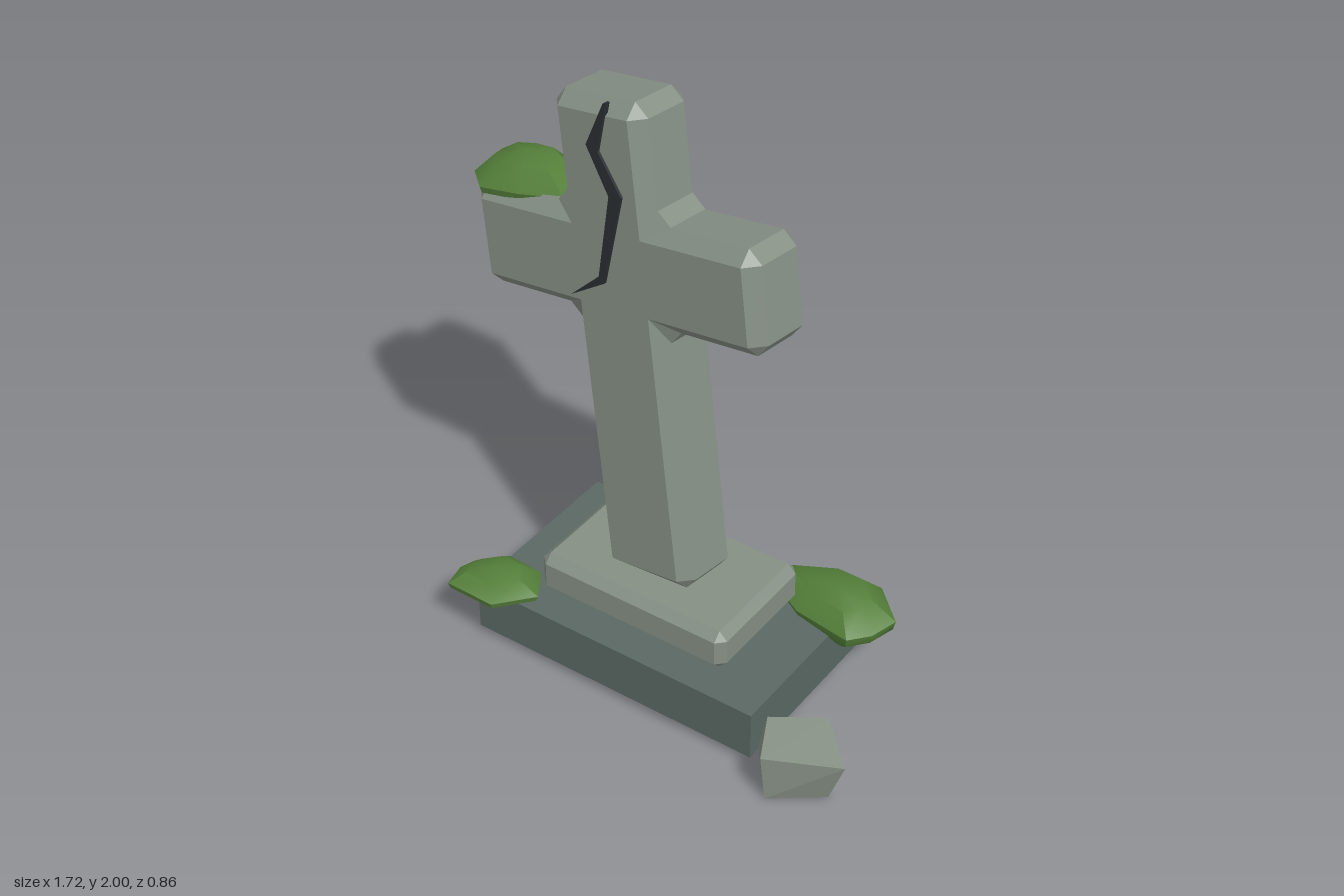
import * as THREE from 'three';
import { toCreasedNormals } from 'three/addons/utils/BufferGeometryUtils.js';
import { ConvexGeometry } from 'three/addons/geometries/ConvexGeometry.js';

const paint = (color, flatShading = true) => new THREE.MeshStandardMaterial({ color, flatShading });
const V = (x, y, z) => new THREE.Vector3(x, y, z);

function fromTriangles(points) {
  const geo = new THREE.BufferGeometry().setFromPoints(points);
  geo.computeVertexNormals();
  return geo;
}
const quad = (out, a, b, c, d) => out.push(a, b, c, a, c, d);

// Prism along z from a right-angled counter-clockwise outline, every edge chamfered by b
function chamferedPrism(outline, depth, b) {
  const n = outline.length, tris = [];
  const corners = outline.map(([x, y], i) => {
    const p = new THREE.Vector2(x, y);
    const d1 = p.clone().sub(new THREE.Vector2(...outline[(i + n - 1) % n])).normalize();
    const d2 = new THREE.Vector2(...outline[(i + 1) % n]).sub(p).normalize();
    const s = Math.sign(d1.cross(d2));
    const n1 = new THREE.Vector2(-d1.y, d1.x), n2 = new THREE.Vector2(-d2.y, d2.x);
    return {
      inset: p.clone().addScaledVector(n1, b).addScaledVector(n2, b),
      a: p.clone().addScaledVector(n2, s * b),
      b: p.clone().addScaledVector(n1, s * b),
    };
  });
  const cap = THREE.ShapeUtils.triangulateShape(corners.map((c) => c.inset), []);
  const zCap = depth / 2, zRim = zCap - b;
  const at = (p, z) => V(p.x, p.y, z);
  for (const side of [1, -1]) {
    const add = (...pts) => {
      if (side < 0) pts.reverse();
      for (let k = 1; k < pts.length - 1; k++) tris.push(pts[0], pts[k], pts[k + 1]);
    };
    cap.forEach((f) => add(...f.map((k) => at(corners[k].inset, side * zCap))));
    corners.forEach((c, i) => {
      const next = corners[(i + 1) % n];
      add(at(c.inset, side * zCap), at(c.a, side * zRim), at(c.b, side * zRim));
      add(at(c.inset, side * zCap), at(c.b, side * zRim), at(next.a, side * zRim), at(next.inset, side * zCap));
    });
  }
  corners.forEach((c, i) => {
    const next = corners[(i + 1) % n];
    quad(tris, at(c.a, -zRim), at(c.b, -zRim), at(c.b, zRim), at(c.a, zRim));
    quad(tris, at(c.b, -zRim), at(next.a, -zRim), at(next.a, zRim), at(c.b, zRim));
  });
  return fromTriangles(tris);
}

// Low cushion of moss: rim outline in x,z (clockwise from above) with a domed top and shallow underside
function mossCushion(rim, y, top, bottom, slope) {
  const cx = rim.reduce((s, p) => s + p[0], 0) / rim.length;
  const cz = rim.reduce((s, p) => s + p[1], 0) / rim.length;
  const ring = (scale, h) => rim.map(([x, z]) => {
    const px = cx + (x - cx) * scale;
    return V(px, y + h + slope * (px - cx), cz + (z - cz) * scale);
  });
  const rings = [ring(0, -bottom), ring(0.6, -bottom), ring(0.96, -bottom * 0.3),
    ring(1, top * 0.12), ring(0.6, top * 0.8), ring(0, top)];
  const tris = [];
  for (let r = 0; r < rings.length - 1; r++) {
    const L = rings[r], U = rings[r + 1];
    rim.forEach((_, i) => {
      const j = (i + 1) % rim.length;
      if (r === 0) tris.push(L[i], U[i], U[j]);
      else if (r === rings.length - 2) tris.push(L[j], L[i], U[i]);
      else quad(tris, L[j], L[i], U[i], U[j]);
    });
  }
  return toCreasedNormals(fromTriangles(tris), 0.65);
}

export function createModel() {
  const model = new THREE.Group();
  const stone = paint(0x858f84), darkStone = paint(0x5a6863);
  const crackColor = paint(0x2a2e32), mossColor = paint(0x55803a, false);
  const add = (name, geo, mat, parent = model) => {
    const mesh = new THREE.Mesh(geo, mat);
    mesh.name = name;
    parent.add(mesh);
    return mesh;
  };

  // Ground slab and plinth
  add('baseSlab', new THREE.BoxGeometry(1.09, 0.18, 0.67), darkStone).position.set(-0.025, 0.12, -0.023);
  const plinth = add('plinth', chamferedPrism(
    [[-0.365, -0.23], [0.365, -0.23], [0.365, 0.23], [-0.365, 0.23]], 0.15, 0.03), stone);
  plinth.rotation.x = -Math.PI / 2;
  plinth.position.set(-0.025, 0.285, -0.02);

  // Leaning cross
  const leaning = new THREE.Group();
  leaning.name = 'leaningCross';
  leaning.position.set(-0.027, 0.35, -0.027);
  leaning.rotation.set(-0.06, -0.1, 0.168);
  model.add(leaning);
  const w = 0.184, a = 0.575, lo = 0.92, hi = 1.268, h = 1.65;
  add('cross', chamferedPrism([
    [-w, -0.02], [w, -0.02], [w, lo], [a, lo], [a, hi], [w, hi],
    [w, h], [-w, h], [-w, hi], [-a, hi], [-a, lo], [-w, lo],
  ], 0.25, 0.045), stone, leaning);

  // Jagged crack on the front face
  const crackShape = new THREE.Shape([
    [0.06, 1.65], [-0.03, 1.505], [0.04, 1.35], [-0.04, 1.07], [-0.17, 0.98],
    [-0.02, 1.05], [0.09, 1.355], [0.015, 1.49], [0.07, 1.65],
  ].map((p) => new THREE.Vector2(...p)));
  const crack = add('crack', new THREE.ExtrudeGeometry(crackShape, { depth: 0.02, bevelEnabled: false }), crackColor, leaning);
  crack.position.z = 0.115;

  // Moss on the arm and on the slab corners
  add('armMoss', mossCushion([[-0.86, -0.2], [-0.83, -0.29], [-0.72, -0.315], [-0.6, -0.305],
    [-0.47, -0.22], [-0.465, -0.08], [-0.62, -0.05], [-0.77, -0.045], [-0.86, -0.13]], 1.51, 0.095, 0.04, 0.16), mossColor);
  add('frontMoss', mossCushion([[-0.68, 0.27], [-0.66, 0.22], [-0.57, 0.14], [-0.42, 0.16],
    [-0.35, 0.27], [-0.46, 0.38], [-0.66, 0.36]], 0.21, 0.055, 0.045, 0.1), mossColor);
  add('backMoss', mossCushion([[0.22, -0.27], [0.23, -0.37], [0.38, -0.43], [0.56, -0.41], [0.69, -0.28],
    [0.66, -0.18], [0.6, -0.12], [0.38, -0.17]], 0.225, 0.08, 0.085, 0.1), mossColor);

  // Fallen stone chunk
  add('looseStone', new ConvexGeometry([
    V(0.555, 0.195, 0.27), V(0.71, 0.185, 0.155), V(0.855, 0.155, 0.29), V(0.63, 0.18, 0.425),
    V(0.53, 0.06, 0.28), V(0.68, 0.02, 0.17), V(0.8, 0, 0.29), V(0.64, 0, 0.41),
  ]), stone);

  return model;
}
